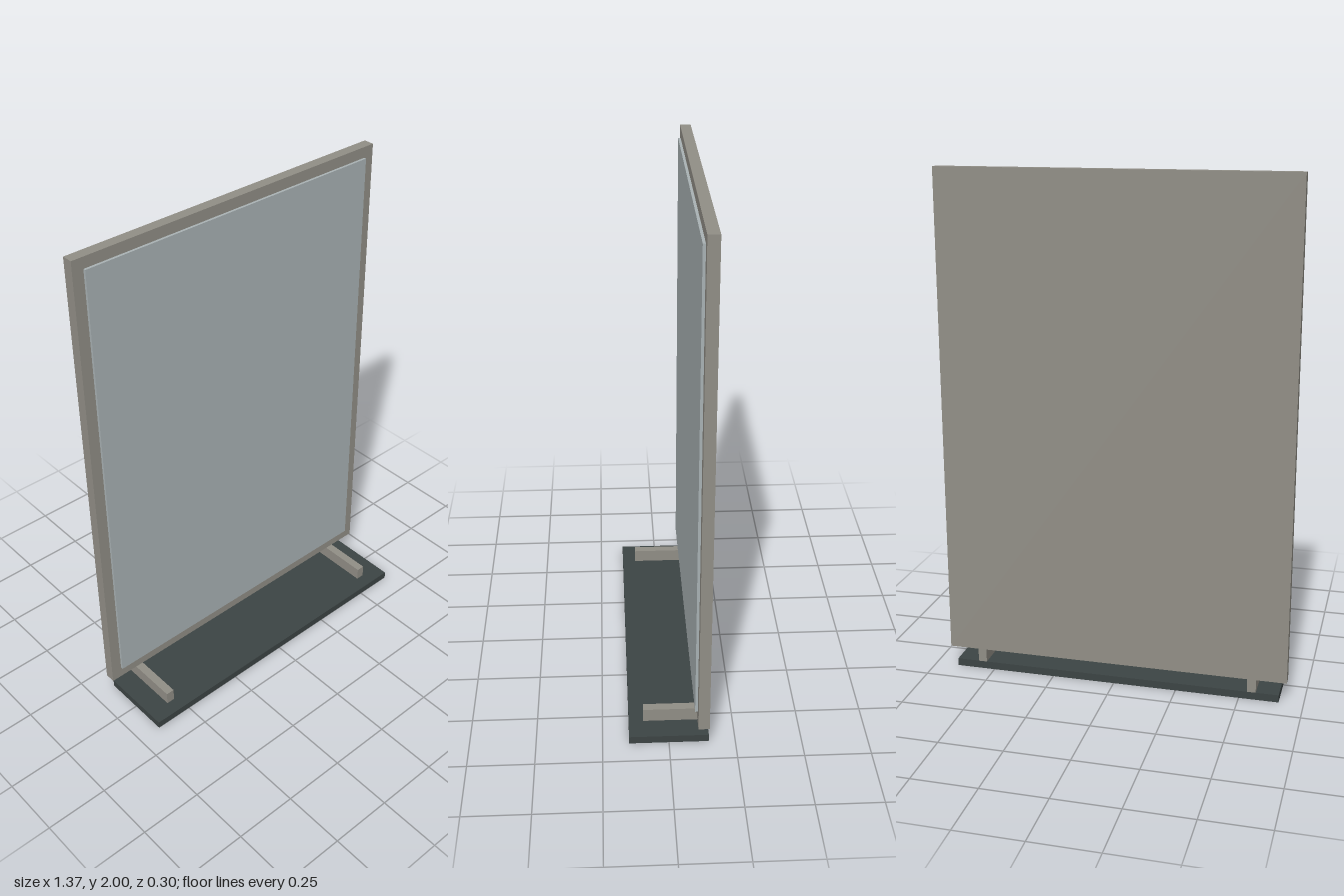
import * as THREE from 'three';

const frameMat = new THREE.MeshStandardMaterial({ color: 0x918e86 });
const baseMat = new THREE.MeshStandardMaterial({ color: 0x3c4444 });
const screenMat = new THREE.MeshStandardMaterial({ color: 0xa9b2b4 });

// Box given by its minimum and maximum corners
function box(name, [x0, y0, z0], [x1, y1, z1], material) {
  const mesh = new THREE.Mesh(new THREE.BoxGeometry(x1 - x0, y1 - y0, z1 - z0), material);
  mesh.position.set((x0 + x1) / 2, (y0 + y1) / 2, (z0 + z1) / 2);
  mesh.name = name;
  return mesh;
}

export function createModel() {
  const group = new THREE.Group();
  group.name = 'standingPanel';

  // Floor plate
  group.add(box('basePlate', [-0.655, 0, -0.15], [0.655, 0.03, 0.15], baseMat));

  // Two feet carrying the panel
  for (const side of [-1, 1]) {
    const x = side * 0.549;
    const name = side > 0 ? 'leftFoot' : 'rightFoot';
    group.add(box(name, [x - 0.017, 0.03, -0.15], [x + 0.017, 0.083, 0.094], frameMat));
  }

  // Backing panel and the thin sheet on its front
  group.add(box('panel', [-0.684, 0.083, -0.15], [0.684, 2, -0.108], frameMat));
  group.add(box('frontSheet', [-0.64, 0.13, -0.108], [0.64, 1.957, -0.098], screenMat));

  return group;
}
